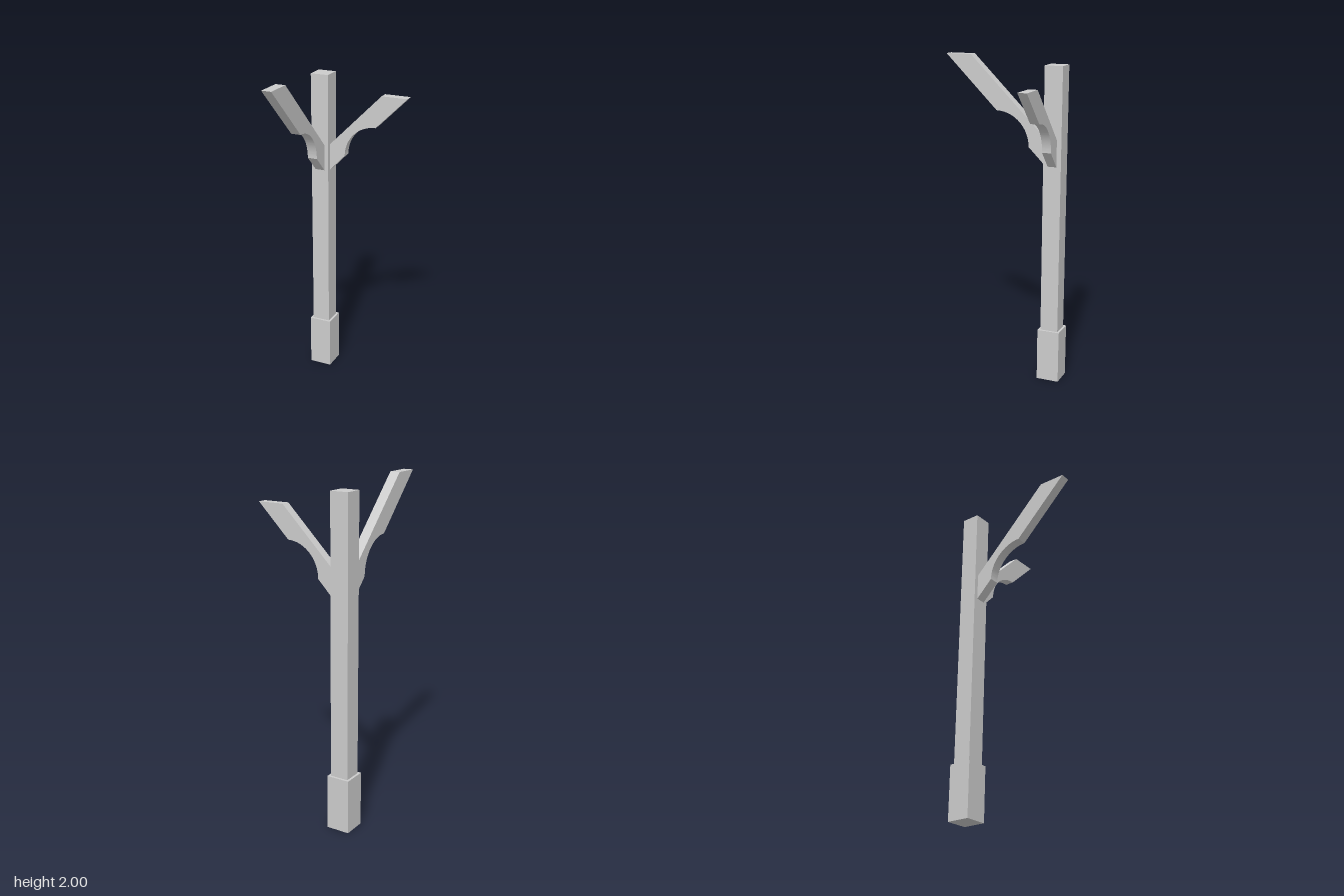
import * as THREE from 'three';
import { toCreasedNormals } from 'three/addons/utils/BufferGeometryUtils.js';

const material = new THREE.MeshStandardMaterial({ color: 0xcccccc });
const POST_X = -0.238, POST_Z = -0.312;
const POST_WIDTH = 0.111;

// Square block standing on the post's axis, from y0 to y1
function block(name, width, y0, y1) {
  const mesh = new THREE.Mesh(new THREE.BoxGeometry(width, y1 - y0, width), material);
  mesh.name = name;
  mesh.position.set(POST_X, (y0 + y1) / 2, POST_Z);
  return mesh;
}

// 45 degree brace with a quarter-round cut underneath.
// Profile: x is the distance from the post's axis, y is the height.
function brace(name, { top, reach, radius, arcX, arcY, thickness }) {
  const face = POST_WIDTH / 2;
  const shape = new THREE.Shape();
  shape.moveTo(face, 1.365);
  shape.lineTo(arcX - radius, arcY);
  shape.absarc(arcX, arcY, radius, Math.PI, Math.PI / 2, true);
  shape.lineTo(reach, top);
  shape.lineTo(reach - 0.16, top);
  shape.lineTo(face, 1.527);
  shape.closePath();
  const geometry = new THREE.ExtrudeGeometry(shape, {
    depth: thickness, bevelEnabled: false, curveSegments: 20,
  });
  geometry.translate(0, 0, -thickness / 2);
  const mesh = new THREE.Mesh(toCreasedNormals(geometry, 0.5), material);
  mesh.name = name;
  mesh.position.set(POST_X, 0, POST_Z);
  return mesh;
}

export function createModel() {
  const model = new THREE.Group();
  model.name = 'bracedPost';

  // Post and its thicker foot
  model.add(block('base', 0.14, 0, 0.327));
  model.add(block('post', POST_WIDTH, 0.327, 1.955));

  // Shorter brace toward +x
  model.add(brace('sideBrace', {
    top: 1.858, reach: 0.545, radius: 0.197, arcX: 0.35, arcY: 1.466, thickness: 0.055,
  }));

  // Longer brace toward +z
  const frontBrace = brace('frontBrace', {
    top: 2, reach: 0.694, radius: 0.207, arcX: 0.366, arcY: 1.468, thickness: 0.06,
  });
  frontBrace.rotation.y = -Math.PI / 2;
  model.add(frontBrace);

  return model;
}
